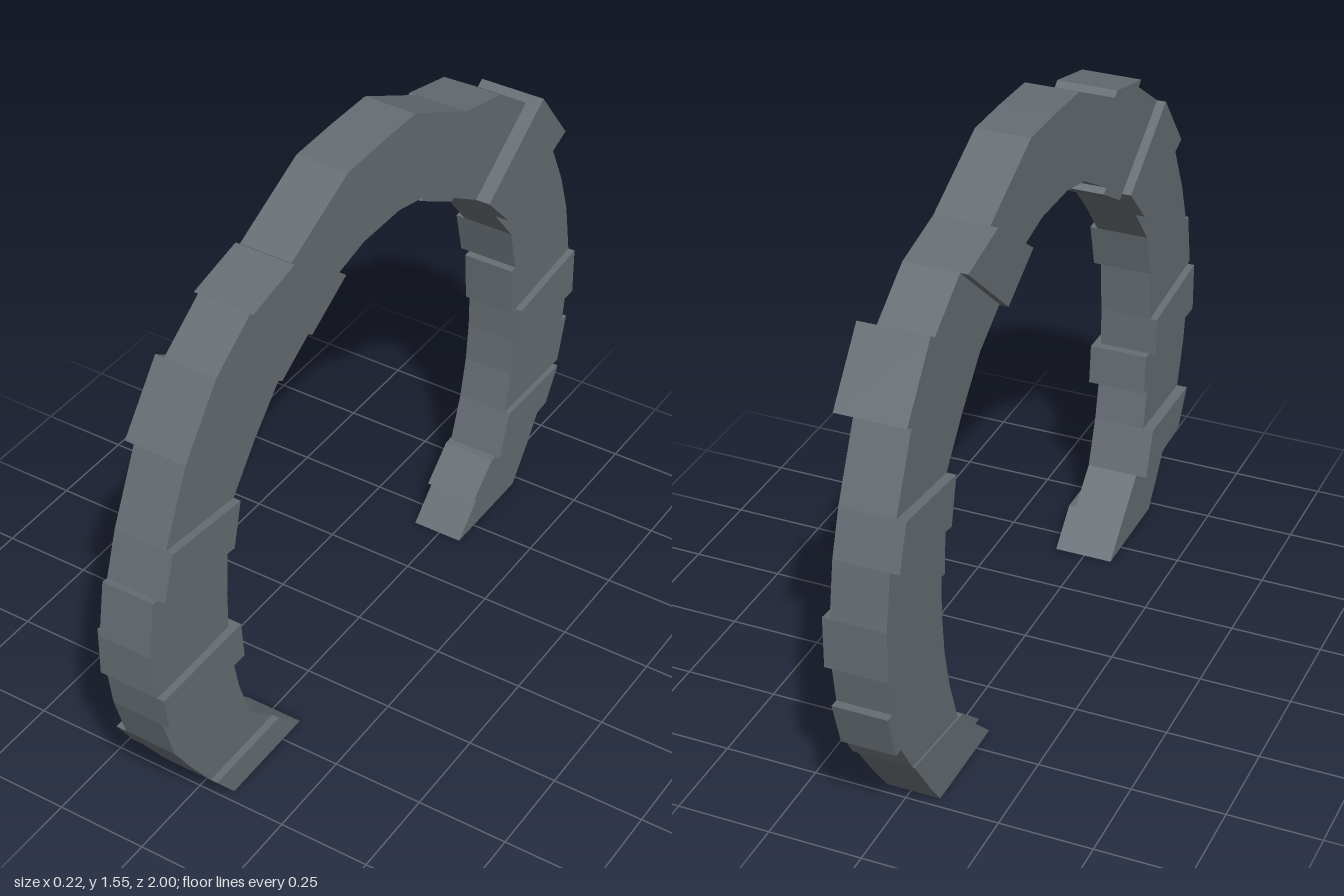
import * as THREE from 'three';

// Joints between stones, foot to crown: outer z, y, then inner z, y
const JOINTS = [
  [0.72, 0, 0.42, 0], [0.79, 0.09, 0.515, 0.09], [0.87, 0.205, 0.61, 0.175],
  [0.93, 0.30, 0.655, 0.305], [0.97, 0.43, 0.68, 0.42], [0.985, 0.53, 0.69, 0.53],
  [0.985, 0.67, 0.69, 0.64], [0.96, 0.82, 0.68, 0.785], [0.92, 0.94, 0.65, 0.91],
  [0.83, 1.13, 0.56, 1.02], [0.70, 1.295, 0.455, 1.13], [0.56, 1.39, 0.34, 1.20],
  [0.39, 1.43, 0.19, 1.285],
];
const LEFT_FACE = 0.065, RIGHT_FACE = -0.08;

// How single stones stand proud of the ring, by stone number from the foot
const FRONT_STONES = {
  0: { left: 0.085 }, 2: { right: -0.11 }, 4: { left: 0.085, inner: 0.025 },
  5: { right: -0.10 }, 6: { outer: 0.018 }, 7: { left: 0.085 },
  9: { right: -0.105 }, 10: { inner: 0.02 }, 11: { left: 0.085, outer: 0.022 },
};
const BACK_STONES = {
  1: { right: -0.085, inner: 0.02 }, 2: { left: 0.08 }, 3: { outer: 0.025 },
  5: { left: 0.085 }, 6: { inner: 0.02 }, 7: { right: -0.105 },
  9: { left: 0.105, outer: 0.025 }, 11: { right: -0.10, inner: 0.01 },
};

export function createModel() {
  const group = new THREE.Group();
  group.name = 'stoneArch';
  const stone = new THREE.MeshStandardMaterial({ color: 0x666d73 });
  stone.name = 'slateStone';

  // Extrude a (z, y) outline across the thickness of the arch
  function addStone(name, points, left = LEFT_FACE, right = RIGHT_FACE) {
    const shape = new THREE.Shape(points.map(([z, y]) => new THREE.Vector2(z, y)));
    const geometry = new THREE.ExtrudeGeometry(shape, { depth: left - right, bevelEnabled: false });
    geometry.rotateY(-Math.PI / 2);
    geometry.translate(left, 0, 0);
    const mesh = new THREE.Mesh(geometry, stone);
    mesh.name = name;
    group.add(mesh);
  }

  // Ends of a joint, pushed outwards and inwards along its own line
  function jointEnds([oz, oy, iz, iy], side, outer = 0, inner = 0) {
    const length = Math.hypot(oz - iz, oy - iy);
    const dz = (oz - iz) / length, dy = (oy - iy) / length;
    return [
      [side * (oz + dz * outer), oy + dy * outer],
      [side * (iz - dz * inner), iy - dy * inner],
    ];
  }

  // Two curved legs of wedge stones
  for (const [label, side, stones] of [['front', 1, FRONT_STONES], ['back', -1, BACK_STONES]]) {
    for (let i = 0; i < JOINTS.length - 1; i++) {
      const { left, right, outer, inner } = stones[i] ?? {};
      const [o1, i1] = jointEnds(JOINTS[i], side, outer, inner);
      const [o2, i2] = jointEnds(JOINTS[i + 1], side, outer, inner);
      addStone(`${label}ArchStone${i + 1}`, [o1, o2, i2, i1], left, right);
    }
  }

  // Crown stone joining the legs
  addStone('keystone', [
    [0.39, 1.43], [0.15, 1.545], [0, 1.55], [-0.15, 1.55], [-0.39, 1.43],
    [-0.19, 1.285], [-0.08, 1.31], [0.08, 1.31], [0.19, 1.285],
  ]);

  return group;
}
